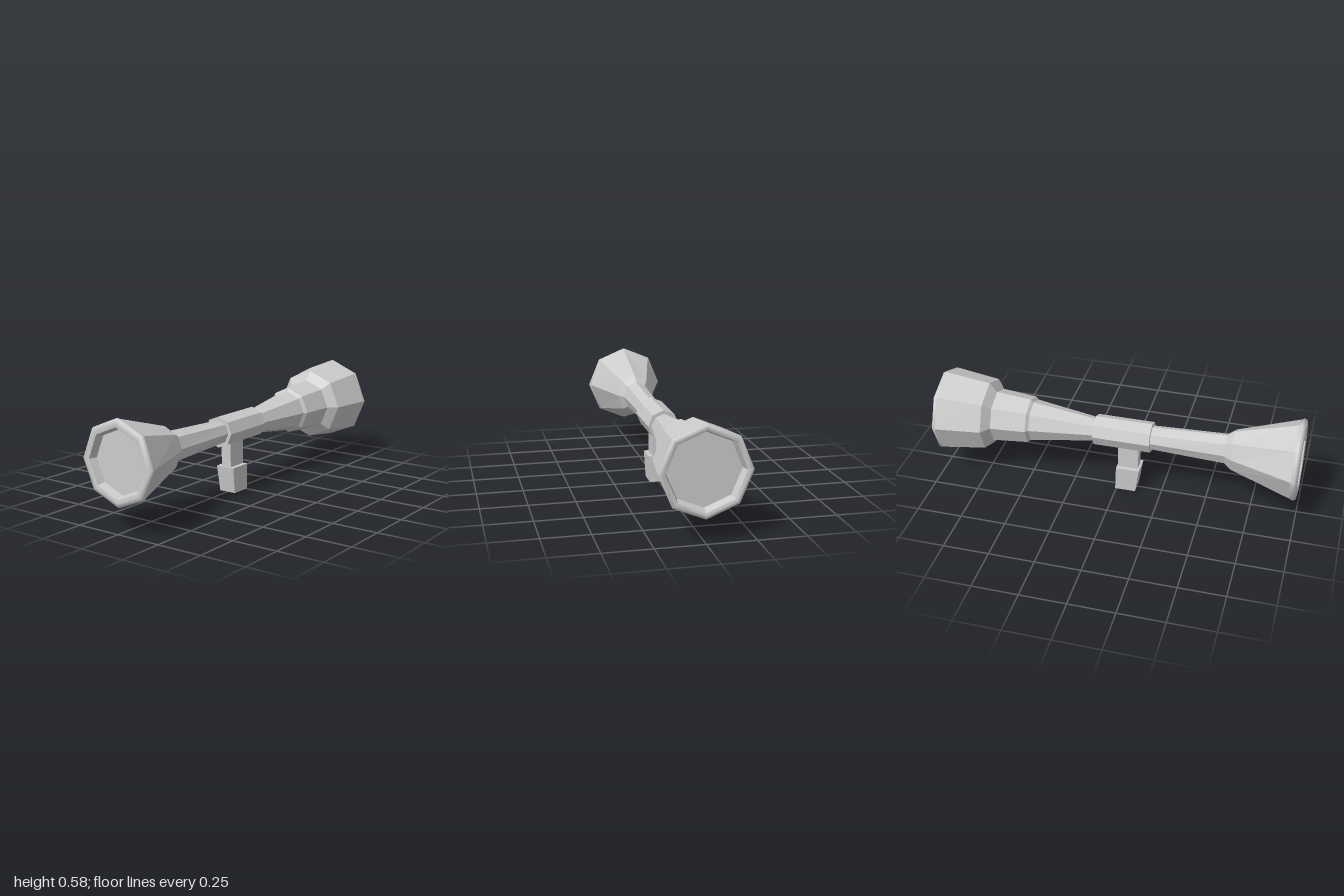
import * as THREE from 'three';
import { toCreasedNormals } from 'three/addons/utils/BufferGeometryUtils.js';

const AXIS_Y = 0.35;
const flat = new THREE.MeshStandardMaterial({ color: 0xcccccc, flatShading: true });
const smooth = new THREE.MeshStandardMaterial({ color: 0xcccccc });

// Eight-sided turned part along z; the profile is [radius, z] with z rising on the outside
function turned(name, profile, round = false) {
  const points = profile.map(([r, z]) => new THREE.Vector2(r, z));
  let geo = new THREE.LatheGeometry(points, 8);
  geo.rotateX(Math.PI / 2);
  if (round) geo = toCreasedNormals(geo, 1);
  const mesh = new THREE.Mesh(geo, round ? smooth : flat);
  mesh.name = name;
  mesh.position.y = AXIS_Y;
  return mesh;
}

// Narrows the neck of a part sideways around z = 0.6
function narrowNeck(mesh) {
  const p = mesh.geometry.attributes.position;
  for (let i = 0; i < p.count; i++) {
    const z = p.getZ(i);
    if (z > 0.5 && z < 0.7) p.setX(i, p.getX(i) * 0.86);
  }
  return mesh;
}

// Box whose bottom and top ends have their own half width and z range
function taperedBox(name, bottom, top) {
  const geo = new THREE.BoxGeometry(1, 1, 1);
  const p = geo.attributes.position;
  for (let i = 0; i < p.count; i++) {
    const e = p.getY(i) > 0 ? top : bottom;
    p.setXYZ(i, Math.sign(p.getX(i)) * e.half, e.y, p.getZ(i) > 0 ? e.front : e.back);
  }
  const mesh = new THREE.Mesh(geo, flat);
  mesh.name = name;
  return mesh;
}

export function createModel() {
  const model = new THREE.Group();
  model.name = 'launcherTube';

  // Rear: recessed end, rounded rim, stepped casing and tapering barrel
  model.add(
    turned('rearRecess', [[0, -0.95], [0.185, -0.95], [0.197, -0.995]].reverse().map(([r, z]) => [r, z]).reverse()),
    turned('rearRim', [[0.197, -0.995], [0.21, -1], [0.222, -0.999], [0.231, -0.99], [0.23, -0.98]], true),
    turned('rearCasing', [[0.23, -0.98], [0.198, -0.73], [0.147, -0.69]]),
    turned('rearCollar', [[0.147, -0.69], [0.13, -0.495], [0.115, -0.48]]),
    turned('rearBarrel', [[0.115, -0.48], [0.065, -0.12]])
  );

  // Middle sleeve
  model.add(turned('sleeve', [[0, -0.125], [0.085, -0.125], [0.085, 0.19], [0, 0.19]]));

  // Front: barrel, flared bell, rounded rim and recessed end
  model.add(
    narrowNeck(turned('frontBarrel', [[0.066, 0.19], [0.086, 0.595]])),
    narrowNeck(turned('frontBell', [[0.086, 0.595], [0.117, 0.635], [0.214, 0.965]])),
    turned('frontRim', [[0.214, 0.965], [0.222, 0.98], [0.216, 0.994], [0.197, 1], [0.178, 0.996]], true),
    turned('frontRecess', [[0.178, 0.996], [0.165, 0.955], [0, 0.955]])
  );

  // Grip: narrow stem into a wider, slightly raked block
  model.add(
    taperedBox('gripStem',
      { half: 0.03, y: 0.13, front: 0.118, back: 0.005 },
      { half: 0.03, y: 0.3, front: 0.122, back: 0.005 }),
    taperedBox('gripBlock',
      { half: 0.049, y: 0, front: 0.108, back: -0.006 },
      { half: 0.055, y: 0.145, front: 0.13, back: 0 })
  );
  return model;
}
